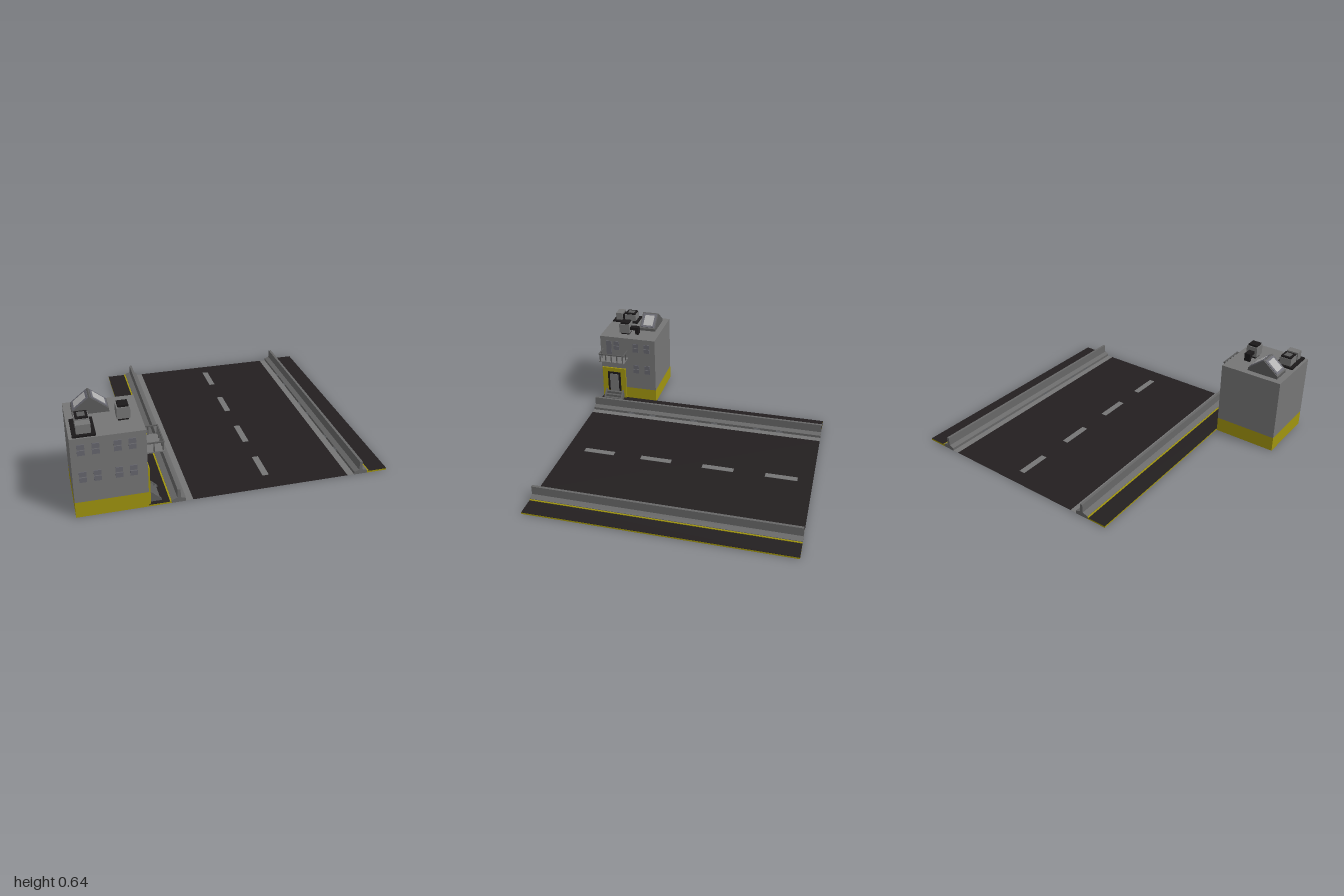
import * as THREE from 'three';

const mat = (color, side = THREE.FrontSide) =>
  new THREE.MeshStandardMaterial({ color, side, flatShading: true });
const GREY = mat(0x757575), MID = mat(0x5c5c5c), PALE = mat(0xb0b0b0), BLACK = mat(0x1a1819);
const YELLOW = mat(0xa0940f), GLASS = mat(0x66666e);
const ASPHALT = mat(0x231f20, THREE.DoubleSide);
const CONCRETE = mat(0x666666, THREE.DoubleSide), GUTTER = mat(0x757575, THREE.DoubleSide);
const Z = 0.885; // half length of the street

function add(parent, name, geometry, material) {
  const mesh = new THREE.Mesh(geometry, material);
  mesh.name = name;
  parent.add(mesh);
  return mesh;
}

// box given by its low and high bounds on each axis
function box(parent, name, material, x0, x1, y0, y1, z0, z1) {
  const m = add(parent, name, new THREE.BoxGeometry(x1 - x0, y1 - y0, z1 - z0), material);
  m.position.set((x0 + x1) / 2, (y0 + y1) / 2, (z0 + z1) / 2);
  return m;
}

const shapeOf = (pts) => new THREE.Shape(pts.map((p) => new THREE.Vector2(...p)));

// x-y outline extruded along z
function prism(parent, name, material, pts, z0, z1) {
  const geometry = new THREE.ExtrudeGeometry(shapeOf(pts), { depth: z1 - z0, bevelEnabled: false });
  const m = add(parent, name, geometry, material);
  m.position.z = z0;
  return m;
}

// open sheet following x-y points along z
function sheet(parent, name, material, pts, z0, z1) {
  const pos = [];
  for (let i = 0; i < pts.length - 1; i++) {
    const [a, b] = [pts[i], pts[i + 1]];
    pos.push(...a, z0, ...a, z1, ...b, z1, ...a, z0, ...b, z1, ...b, z0);
  }
  const g = new THREE.BufferGeometry();
  g.setAttribute('position', new THREE.Float32BufferAttribute(pos, 3));
  g.computeVertexNormals();
  return add(parent, name, g, material);
}

function createRoad() {
  const road = new THREE.Group();
  road.name = 'road';
  sheet(road, 'roadSurface', ASPHALT, [[-0.29, 0.002], [0.73, 0.002]], -Z, Z);
  for (const z of [-0.67, -0.227, 0.22, 0.64])
    box(road, 'laneDash', GREY, 0.2, 0.242, 0, 0.004, z - 0.111, z + 0.111);

  // each side: x measured outwards from the road edge, mirrored by s
  for (const [edge, s] of [[-0.29, -1], [0.73, 1]]) {
    const side = new THREE.Group();
    side.name = 'roadside';
    const at = (pts) => pts.map(([x, y]) => [edge + s * x, y]);
    sheet(side, 'gutter', GUTTER, at([[0, 0.002], [0.045, 0.002]]), -Z, Z);
    const profile = at([[0.045, 0.02], [0.077, 0.032], [0.079, 0.09], [0.097, 0.09],
      [0.099, 0.032], [0.135, 0.02], [0.135, 0]]);
    sheet(side, 'barrier', CONCRETE, profile, -Z, Z);
    for (const z of [-Z, Z]) {
      const cap = add(side, 'barrierEnd',
        new THREE.ShapeGeometry(shapeOf([...at([[0.045, 0]]), ...profile])), CONCRETE);
      cap.position.z = z;
    }
    // kerb face with drain slots left open
    const face = (y0, y1, z0, z1) =>
      sheet(side, 'barrierKerb', CONCRETE, at([[0.045, y0], [0.045, y1]]), z0, z1);
    let z = -Z;
    for (const slot of [-0.58, -0.41, -0.08, 0.08, 0.41, 0.58, Z + 0.025]) {
      face(0, 0.02, z, slot - 0.025);
      if (slot < Z) face(0.017, 0.02, slot - 0.025, slot + 0.025);
      z = slot + 0.025;
    }
    // pavement
    const x0 = edge + s * 0.135, x1 = edge + s * 0.145, x2 = edge + s * 0.27;
    const span = (a, b) => [Math.min(a, b), Math.max(a, b)];
    box(side, 'yellowKerb', YELLOW, ...span(x0, x1), 0, 0.017, -Z, Z);
    box(side, 'pavementBase', YELLOW, ...span(x1, x2), 0, 0.011, -Z, Z);
    box(side, 'pavementTop', ASPHALT, ...span(x1, x2), 0.011, 0.013, -Z, Z);
    road.add(side);
  }
  return road;
}

// two-pane window facing +z, centred on its origin
function createWindow() {
  const w = new THREE.Group();
  w.name = 'window';
  for (const y of [-0.019, 0.019])
    box(w, 'windowPane', GLASS, -0.022, 0.022, y - 0.016, y + 0.016, -0.003, 0.005);
  return w;
}

function createRoofEquipment() {
  const roof = new THREE.Group();
  roof.name = 'roofEquipment';
  // gabled skylight
  prism(roof, 'skylight', MID,
    [[-0.955, 0.535], [-0.735, 0.535], [-0.735, 0.555], [-0.845, 0.643], [-0.955, 0.555]], 0.49, 0.617);
  for (const s of [-1, 1]) {
    const pane = new THREE.Group();
    pane.name = 'skylightPane';
    box(pane, 'paneFrame', GLASS, -0.06, 0.06, -0.002, 0.004, -0.055, 0.055);
    box(pane, 'paneGlass', PALE, -0.045, 0.045, 0, 0.006, -0.038, 0.038);
    pane.position.set(-0.845 + s * 0.055, 0.599, 0.553);
    pane.rotation.z = -s * Math.atan2(0.088, 0.11);
    roof.add(pane);
  }
  // cooling unit on a black base
  box(roof, 'unitBase', BLACK, -0.98, -0.845, 0.535, 0.546, 0.67, 0.875);
  box(roof, 'unitBody', GREY, -0.955, -0.87, 0.546, 0.597, 0.69, 0.78);
  box(roof, 'unitCap', BLACK, -0.95, -0.875, 0.597, 0.607, 0.695, 0.775);
  box(roof, 'unitFan', MID, -0.935, -0.89, 0.607, 0.609, 0.71, 0.76);
  box(roof, 'unitLink', BLACK, -0.945, -0.88, 0.546, 0.59, 0.78, 0.8);
  box(roof, 'unitBox', GREY, -0.955, -0.87, 0.546, 0.603, 0.8, 0.855);
  // vent with elbow duct
  box(roof, 'ventFoot', BLACK, -0.7, -0.638, 0.535, 0.548, 0.67, 0.74);
  box(roof, 'ventBody', GREY, -0.708, -0.628, 0.548, 0.62, 0.665, 0.747);
  box(roof, 'ventCap', BLACK, -0.7, -0.636, 0.62, 0.633, 0.673, 0.739);
  box(roof, 'duct', BLACK, -0.69, -0.648, 0.57, 0.592, 0.6, 0.665);
  box(roof, 'ductDrop', BLACK, -0.69, -0.648, 0.535, 0.57, 0.6, 0.625);
  return roof;
}

function createBuilding() {
  const b = new THREE.Group();
  b.name = 'building';
  const wall = -0.562;
  box(b, 'baseBand', YELLOW, -1, wall, 0, 0.105, 0.445, Z);
  box(b, 'walls', GREY, -1, wall, 0.105, 0.535, 0.445, Z);

  // windows on the front and street walls
  const place = (x, y, z, turn) => {
    const w = createWindow();
    w.position.set(x, y, z);
    w.rotation.y = turn;
    b.add(w);
  };
  for (const y of [0.278, 0.46]) {
    for (const x of [-0.94, -0.855, -0.73, -0.645]) place(x, y, Z, 0);
    for (const z of [0.6, 0.51]) place(wall, y, z, Math.PI / 2);
  }
  place(wall, 0.465, 0.755, Math.PI / 2);
  box(b, 'balconyDoor', GLASS, wall, wall + 0.005, 0.37, 0.5, 0.795, 0.837);

  // street door
  box(b, 'doorSurround', YELLOW, wall, -0.55, 0, 0.27, 0.688, 0.878);
  box(b, 'doorFrame', BLACK, wall, -0.546, 0.07, 0.237, 0.73, 0.835);
  box(b, 'doorLeaf', GREY, wall, -0.543, 0.07, 0.22, 0.747, 0.818);

  // steps between sloping cheeks
  const steps = [[-0.552, 0.012], [-0.49, 0.012], [-0.49, 0.03], [-0.51, 0.03], [-0.51, 0.048],
    [-0.53, 0.048], [-0.53, 0.066], [-0.552, 0.066]];
  prism(b, 'steps', MID, steps, 0.72, 0.845);
  for (const z of [0.708, 0.845])
    prism(b, 'stepCheek', MID, [[-0.552, 0.012], [-0.48, 0.012], [-0.48, 0.022], [-0.54, 0.08], [-0.552, 0.08]], z, z + 0.012);

  // balcony: floor, top rail and posts
  const balcony = new THREE.Group();
  balcony.name = 'balcony';
  const [x0, x1, z0, z1] = [wall, -0.455, 0.665, 0.868];
  box(balcony, 'balconyFloor', GREY, x0, x1, 0.362, 0.37, z0, z1);
  const t = 0.008;
  box(balcony, 'frontRail', MID, x1 - t, x1, 0.425, 0.433, z0, z1);
  for (const z of [z0, z1 - t]) {
    box(balcony, 'sideRail', MID, x0, x1 - t, 0.425, 0.433, z, z + t);
    box(balcony, 'sidePost', MID, -0.52, -0.514, 0.37, 0.425, z, z + t);
  }
  for (let i = 0; i < 5; i++) {
    const z = z0 + 0.008 + i * 0.045;
    box(balcony, 'frontPost', MID, x1 - t - 0.002, x1 - 0.002, 0.37, 0.425, z, z + 0.007);
  }
  b.add(balcony, createRoofEquipment());
  return b;
}

export function createModel() {
  const model = new THREE.Group();
  model.name = 'streetScene';
  model.add(createRoad(), createBuilding());
  return model;
}
